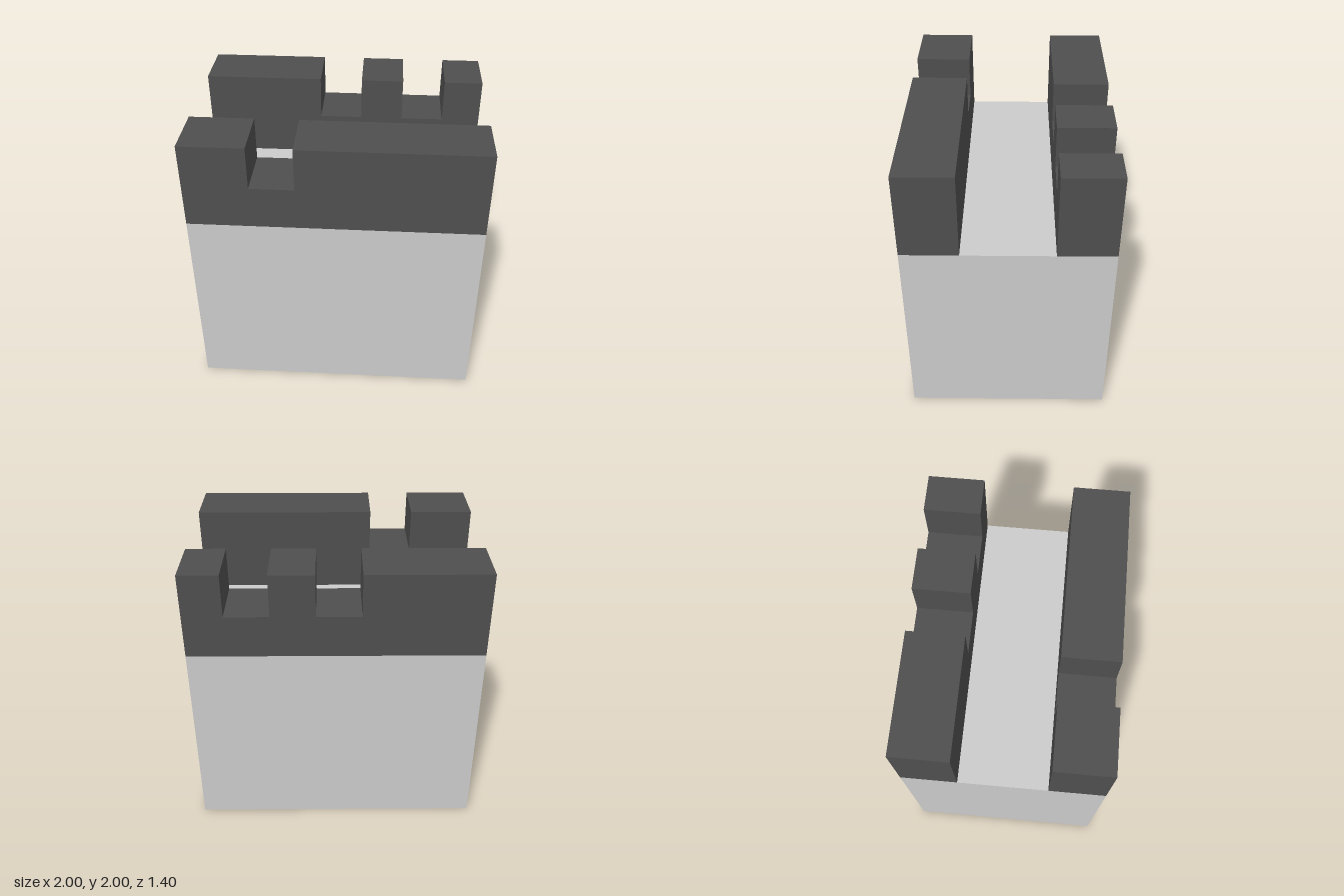
import * as THREE from 'three';

const BASE = 1.4, TOP = 2, NOTCH = 1.7, NOTCH_WIDTH = 0.3;
const HALF_WIDTH = 1, HALF_DEPTH = 0.7, WALL = 0.39;

// Wall outline with square notches cut from the top, extruded along z
function battlement(name, notchStarts, zMin, material) {
  const shape = new THREE.Shape();
  shape.moveTo(HALF_WIDTH, TOP);
  // Notches are listed from left (+x) to right (-x)
  for (const x of notchStarts) {
    shape.lineTo(x + NOTCH_WIDTH, TOP);
    shape.lineTo(x + NOTCH_WIDTH, NOTCH);
    shape.lineTo(x, NOTCH);
    shape.lineTo(x, TOP);
  }
  shape.lineTo(-HALF_WIDTH, TOP);
  shape.lineTo(-HALF_WIDTH, BASE);
  shape.lineTo(HALF_WIDTH, BASE);
  shape.closePath();
  const geometry = new THREE.ExtrudeGeometry(shape, { depth: WALL, bevelEnabled: false });
  geometry.translate(0, 0, zMin);
  const mesh = new THREE.Mesh(geometry, material);
  mesh.name = name;
  return mesh;
}

export function createModel() {
  const group = new THREE.Group();
  group.name = 'castleWall';
  const stone = new THREE.MeshStandardMaterial({ color: 0xcccccc, flatShading: true });
  const dark = new THREE.MeshStandardMaterial({ color: 0x4f4f4f, flatShading: true });

  // Solid wall body, its top forming the walkway
  const body = new THREE.Mesh(new THREE.BoxGeometry(2 * HALF_WIDTH, BASE, 2 * HALF_DEPTH), stone);
  body.name = 'wallBody';
  body.position.y = BASE / 2;
  group.add(body);

  // Battlements on either side of the walkway
  group.add(battlement('frontBattlement', [-0.56], HALF_DEPTH - WALL, dark));
  group.add(battlement('backBattlement', [0.43, -0.17], -HALF_DEPTH, dark));
  return group;
}
